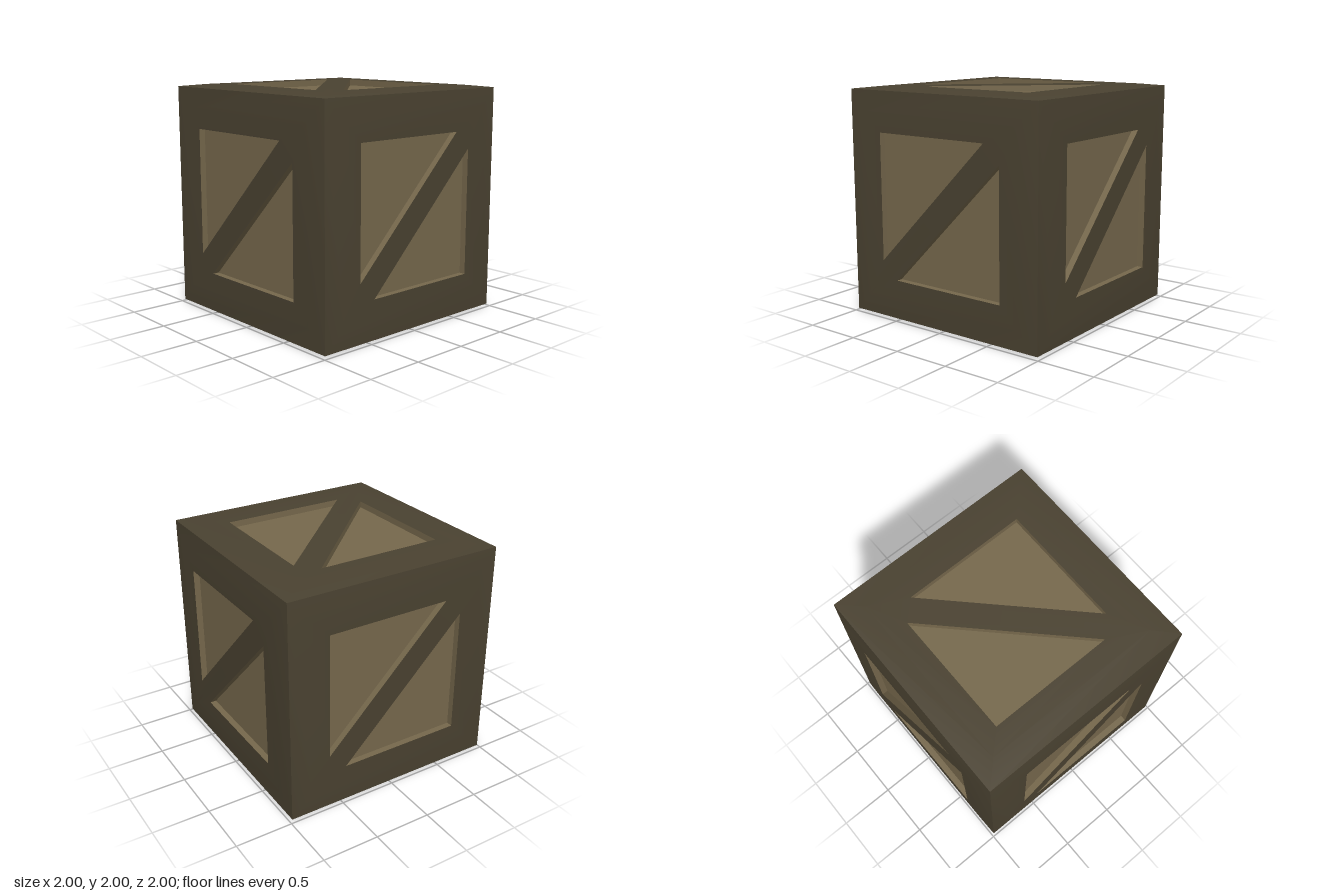
import * as THREE from 'three';
import { mergeGeometries, mergeVertices } from 'three/addons/utils/BufferGeometryUtils.js';

const OUTER = 0.98;   // cube edge, slightly pulled in
const FLAT = 0.8;     // half size of the flat middle of each side
const TOP = 1;        // height of the flat middle
const FLOOR = 0.945;  // height of the recessed panels
const A = 0.63;       // half size of the framed opening
const B = 0.475;      // where the diagonal brace cuts the opening

// The two triangular openings, counter-clockwise
const upper = [[-A, A], [-A, -B], [B, A]].map(([x, y]) => new THREE.Vector2(x, y));
const lower = upper.map((p) => p.clone().negate());
const openings = [upper, lower];

function positionsOnly(geometry) {
  geometry.deleteAttribute('uv');
  geometry.deleteAttribute('normal');
  return geometry;
}

// Frame and brace in one sheet, with a rim sloping down to the cube edges
function frameGeometry() {
  const square = new THREE.Shape([[-1, -1], [1, -1], [1, 1], [-1, 1]].map(
    ([x, y]) => new THREE.Vector2(x * FLAT, y * FLAT)));
  openings.forEach((t) => square.holes.push(new THREE.Path([...t].reverse())));
  const sheet = new THREE.ShapeGeometry(square).translate(0, 0, TOP);
  const rim = new THREE.CylinderGeometry(
    FLAT * Math.SQRT2, OUTER * Math.SQRT2, TOP - OUTER, 4, 1, true, Math.PI / 4);
  rim.rotateX(Math.PI / 2).translate(0, 0, (TOP + OUTER) / 2);
  const merged = mergeVertices(mergeGeometries([positionsOnly(sheet), positionsOnly(rim)]), 1e-4);
  merged.computeVertexNormals();
  return merged;
}

// Recessed triangle: floor plus walls facing inward
function recessGeometry(triangle) {
  const floor = new THREE.ShapeGeometry(new THREE.Shape(triangle)).translate(0, 0, FLOOR);
  const corners = [];
  triangle.forEach((p, i) => {
    const q = triangle[(i + 1) % 3];
    const quad = [[q, FLOOR], [p, FLOOR], [p, TOP], [q, TOP]];
    [0, 1, 2, 0, 2, 3].forEach((k) => corners.push(quad[k][0].x, quad[k][0].y, quad[k][1]));
  });
  const walls = new THREE.BufferGeometry();
  walls.setAttribute('position', new THREE.Float32BufferAttribute(corners, 3));
  const merged = mergeGeometries([positionsOnly(floor.toNonIndexed()), walls]);
  merged.computeVertexNormals();
  return merged;
}

export function createModel() {
  const crate = new THREE.Group();
  crate.name = 'crate';
  const frameWood = new THREE.MeshStandardMaterial({ color: 0x4a4231 });
  const panelWood = new THREE.MeshStandardMaterial({ color: 0x76684c });
  const frame = frameGeometry();
  const recesses = openings.map(recessGeometry);

  // Each side is the same piece, turned into place
  const H = Math.PI / 2;
  const sides = {
    front: [0, 0, 0],
    right: [0, H, 0],
    back: [0, 2 * H, 0],
    left: [0, -H, 0],
    top: [-H, 0, H],
    bottom: [H, 0, 0],
  };
  for (const [name, angles] of Object.entries(sides)) {
    const side = new THREE.Group();
    side.name = name + 'Side';
    const frameMesh = new THREE.Mesh(frame, frameWood);
    frameMesh.name = name + 'Frame';
    side.add(frameMesh);
    recesses.forEach((geometry, i) => {
      const panel = new THREE.Mesh(geometry, panelWood);
      panel.name = name + (i ? 'LowerPanel' : 'UpperPanel');
      side.add(panel);
    });
    side.rotation.set(...angles);
    side.position.y = 1;
    crate.add(side);
  }
  return crate;
}
